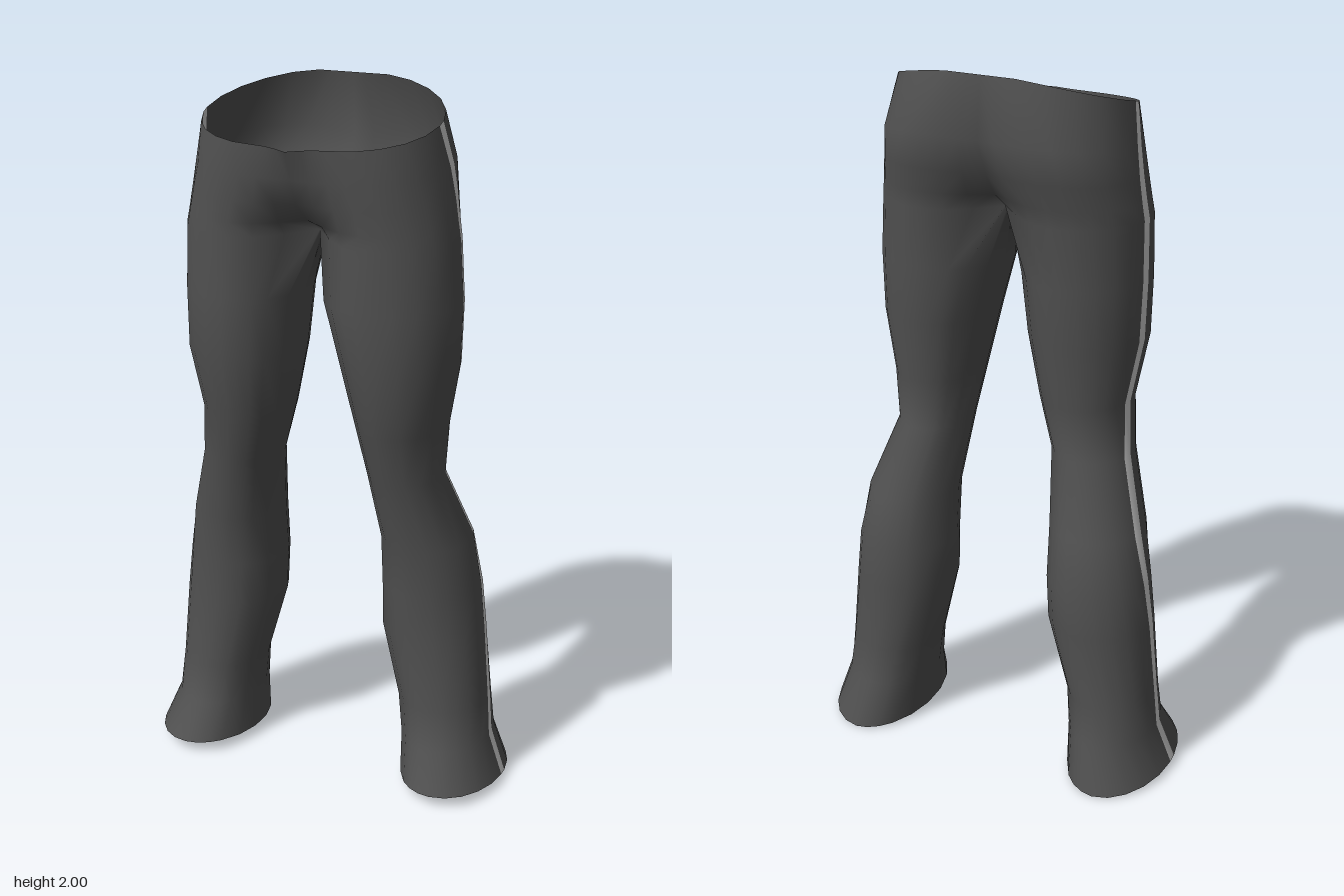
import * as THREE from 'three';
import { mergeVertices } from 'three/addons/utils/BufferGeometryUtils.js';

// Hip rows: y at front / back, outer x, thigh centre x, z of thigh front / back, z of middle seam front / back, stripe z
const HIPS = [
  [1.87, 2.0, 0.33, 0.1, 0.245, -0.18, 0.272, -0.18, 0.03],
  [1.79, 1.84, 0.352, 0.15, 0.238, -0.22, 0.24, -0.195, 0.0],
  [1.72, 1.74, 0.365, 0.17, 0.23, -0.195, 0.205, -0.15, -0.01],
  [1.66, 1.67, 0.375, 0.185, 0.226, -0.175, 0.13, -0.1, -0.01],
  [1.62, 1.62, 0.383, 0.19, 0.225, -0.165, 0.05, -0.04, -0.01],
];
// Leg rows: y at front / back, left outer / inner x, right outer / inner x, z front / back, stripe z
const LEGS = [
  [1.45, 1.45, 0.396, 0.02, 0.385, 0.035, 0.225, -0.155, -0.01],
  [1.28, 1.28, 0.393, 0.07, 0.38, 0.052, 0.222, -0.142, -0.01],
  [1.1, 1.1, 0.363, 0.11, 0.348, 0.09, 0.18, -0.12, -0.018],
  [0.95, 0.95, 0.35, 0.14, 0.362, 0.132, 0.142, -0.112, -0.04],
  [0.75, 0.75, 0.418, 0.16, 0.425, 0.158, 0.1, -0.19, -0.1],
  [0.6, 0.6, 0.442, 0.157, 0.452, 0.162, 0.085, -0.22, -0.098],
  [0.47, 0.47, 0.458, 0.158, 0.467, 0.167, 0.082, -0.217, -0.088],
  [0.25, 0.25, 0.48, 0.212, 0.484, 0.23, 0.08, -0.21, -0.075],
  [0.14, 0.14, 0.49, 0.23, 0.491, 0.24, 0.11, -0.23, -0.066],
  [0.035, 0.0, 0.535, 0.24, 0.535, 0.24, 0.175, -0.27, -0.057],
];
const SIDE = 5, TURN = 3, INNER = 5;             // segments of each arc
const OUTER = 2 * (SIDE + TURN) + 2;             // points from front seam round to back seam
const RING = OUTER + INNER - 1;
const STRIPE = TURN + SIDE;                      // column that carries the stripe
const HALF_PI = Math.PI / 2, WRAP = 0.7;

// One cross-section: front seam, round the outside, back seam, then the inside of the leg
function ring(row, isLeg, side) {
  const [yF, yB] = row;
  const k = side > 0 ? 2 : 4;
  const xo = isLeg ? row[k] : row[2];
  const cx = isLeg ? (row[k] + row[k + 1]) / 2 : row[3];
  const zF = isLeg ? row[6] : row[4], zB = isLeg ? row[7] : row[5];
  const mF = isLeg ? zF : row[6], mB = isLeg ? zB : row[7];
  const rx = xo - cx, cz = (zF + zB) / 2, rz = (zF - zB) / 2;
  const stripeZ = row[8] + (side > 0 ? 0 : 0.03);
  const edge = (d) => Math.asin((stripeZ + d - cz) / rz);
  const hi = edge(0.015), lo = edge(-0.015);
  const points = [];
  const add = (x, z) => {
    const top = Math.max(zF, mF), low = Math.min(zB, mB);
    const t = THREE.MathUtils.clamp((z - low) / (top - low), 0, 1);
    points.push([side * x, yB + (yF - yB) * Math.pow(t, 0.7), z]);
  };
  const arc = (a) => add(cx + rx * Math.cos(a), cz + rz * Math.sin(a));
  // part between the thigh and the middle seam
  const turn = (s, sign) => {
    if (isLeg) return arc(sign * (HALF_PI + WRAP * s));
    const from = sign > 0 ? zF : zB, to = sign > 0 ? mF : mB;
    const ease = 1 - Math.cos(s * HALF_PI);
    add(cx * (1 - s), from + (to - from) * ease);
  };
  for (let i = 0; i < TURN; i++) turn(1 - i / TURN, 1);
  for (let i = 0; i <= SIDE; i++) arc(HALF_PI + (hi - HALF_PI) * i / SIDE);
  for (let i = 0; i <= SIDE; i++) arc(lo + (-HALF_PI - lo) * i / SIDE);
  for (let i = 1; i <= TURN; i++) turn(i / TURN, -1);
  for (let i = 1; i < INNER; i++) {
    const s = i / INNER;
    if (isLeg) arc(-(HALF_PI + WRAP) - (Math.PI - 2 * WRAP) * s);
    else add(0, mB + (mF - mB) * s);
  }
  return points;
}

export function createModel() {
  const group = new THREE.Group();
  group.name = 'trousers';
  const positions = [], fabric = [], stripes = { leftStripe: [], rightStripe: [] };
  const rows = HIPS.length + LEGS.length;

  // Loft both halves into one shared set of points
  for (const side of [1, -1]) {
    const base = positions.length / 3;
    HIPS.forEach((r) => positions.push(...ring(r, false, side).flat()));
    LEGS.forEach((r) => positions.push(...ring(r, true, side).flat()));
    for (let r = 0; r < rows - 1; r++) {
      const columns = r < HIPS.length - 1 ? OUTER - 1 : RING;   // hips are open at the middle
      for (let c = 0; c < columns; c++) {
        const n = (c + 1) % RING;
        const a = base + r * RING + c, b = base + r * RING + n;
        const d = a + RING, e = b + RING;
        const name = side > 0 ? 'leftStripe' : 'rightStripe';
        const target = c === STRIPE ? stripes[name] : fabric;
        if (side > 0) target.push(a, d, b, b, d, e);
        else target.push(a, b, d, b, e, d);
      }
    }
  }

  // Weld the middle seam and share smooth normals between cloth and stripes
  let whole = new THREE.BufferGeometry();
  whole.setAttribute('position', new THREE.Float32BufferAttribute(positions, 3));
  whole.setIndex([...fabric, ...stripes.leftStripe, ...stripes.rightStripe]);
  whole = mergeVertices(whole, 1e-4);
  whole.computeVertexNormals();
  const welded = Array.from(whole.index.array);

  const cloth = new THREE.MeshStandardMaterial({ color: 0x505050, side: THREE.DoubleSide });
  cloth.name = 'dark grey cloth';
  const trim = new THREE.MeshStandardMaterial({ color: 0xd2d2d2, side: THREE.DoubleSide });
  trim.name = 'light grey stripe';

  let start = 0;
  const addPart = (name, count, material) => {
    const geometry = new THREE.BufferGeometry();
    geometry.setAttribute('position', whole.attributes.position);
    geometry.setAttribute('normal', whole.attributes.normal);
    geometry.setIndex(welded.slice(start, start + count));
    start += count;
    const mesh = new THREE.Mesh(geometry, material);
    mesh.name = name;
    group.add(mesh);
  };
  addPart('hipsAndLegs', fabric.length, cloth);
  addPart('leftStripe', stripes.leftStripe.length, trim);
  addPart('rightStripe', stripes.rightStripe.length, trim);
  return group;
}
